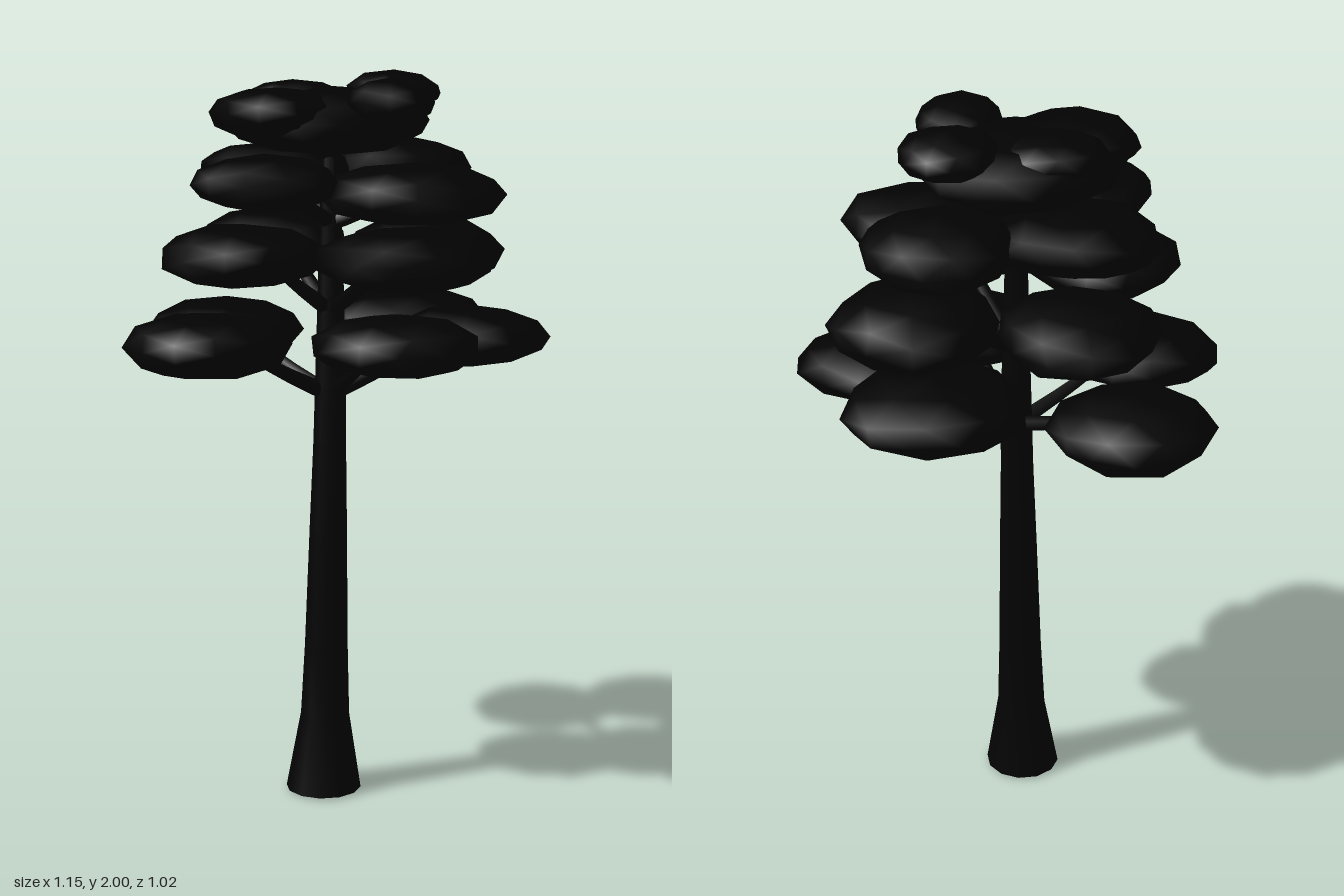
import * as THREE from 'three';
import { mergeVertices } from 'three/addons/utils/BufferGeometryUtils.js';

const bark = new THREE.MeshStandardMaterial({ color: 0x030303 });
const leaf = new THREE.MeshStandardMaterial({ color: 0x020202 });

// The trunk leans a little: its centre line at height y
const trunkAt = (y) => {
  const t = Math.min(y / 1.2, 1);
  return new THREE.Vector3(-0.05 + 0.02 * t, y, 0.018 * (1 - t) ** 3);
};

// Flared, tapering trunk; the doubled point keeps the base edge sharp
function makeTrunk() {
  const profile = [[0, 0], [0.105, 0.005], [0.105, 0.005], [0.068, 0.22], [0.06, 0.42], [0.052, 0.75],
    [0.045, 1.0], [0.043, 1.15], [0.036, 1.4], [0.029, 1.65], [0.02, 1.88], [0, 1.89]];
  const geo = new THREE.LatheGeometry(profile.map(([r, y]) => new THREE.Vector2(r, y)), 12);
  const p = geo.attributes.position;
  for (let i = 0; i < p.count; i++) {
    const c = trunkAt(p.getY(i));
    p.setX(i, p.getX(i) + c.x);
    p.setZ(i, p.getZ(i) + c.z);
  }
  const mesh = new THREE.Mesh(geo, bark);
  mesh.name = 'trunk';
  return mesh;
}

// Tapered branch from the trunk to a leaf cluster
function makeBranch(startY, end) {
  const start = trunkAt(startY);
  const mid = start.clone().lerp(end, 0.5);
  mid.y -= 0.015;
  const curve = new THREE.QuadraticBezierCurve3(start, mid, end);
  const rings = 5, sides = 6;
  const geo = new THREE.TubeGeometry(curve, rings, 1, sides, false);
  const p = geo.attributes.position;
  const v = new THREE.Vector3();
  for (let i = 0; i < p.count; i++) {
    const t = Math.floor(i / (sides + 1)) / rings;
    const c = curve.getPointAt(t);
    v.fromBufferAttribute(p, i).sub(c).multiplyScalar(0.024 - 0.012 * t).add(c);
    p.setXYZ(i, v.x, v.y, v.z);
  }
  const mesh = new THREE.Mesh(geo, bark);
  mesh.name = 'branch';
  return mesh;
}

// Flattened, slightly uneven leaf cluster
function makeCluster([x, y, z, rx, ry, rz], seed) {
  const ball = new THREE.IcosahedronGeometry(1, 1);
  ball.deleteAttribute('normal');
  ball.deleteAttribute('uv');
  const geo = mergeVertices(ball);
  geo.rotateY(seed * 1.7);
  const p = geo.attributes.position;
  const v = new THREE.Vector3();
  for (let i = 0; i < p.count; i++) {
    v.fromBufferAttribute(p, i);
    const bump = 1 + 0.04 * Math.sin(3.1 * v.x + seed * 2.3) + 0.04 * Math.sin(3.7 * v.z + 2 * v.y + seed);
    p.setXYZ(i, v.x * rx * bump, v.y * ry * bump, v.z * rz * bump);
  }
  geo.computeVertexNormals();
  const mesh = new THREE.Mesh(geo, leaf);
  mesh.position.set(x, y, z);
  mesh.name = 'leafCluster';
  return mesh;
}

// Tiers of foliage: height of the branch root, then clusters as centre and radii
const tiers = [
  { name: 'lowestTier', root: 1.13, clusters: [
    [-0.355, 1.265, -0.265, 0.225, 0.088, 0.225],
    [-0.345, 1.285, 0.175, 0.215, 0.088, 0.21],
    [0.145, 1.3, -0.275, 0.25, 0.092, 0.245],
    [0.35, 1.295, -0.01, 0.225, 0.083, 0.19],
    [0.16, 1.3, 0.24, 0.225, 0.085, 0.225]] },
  { name: 'secondTier', root: 1.36, clusters: [
    [-0.22, 1.53, -0.27, 0.22, 0.083, 0.22],
    [-0.235, 1.53, 0.225, 0.215, 0.083, 0.22],
    [0.18, 1.53, 0.28, 0.225, 0.085, 0.235],
    [0.21, 1.505, -0.21, 0.23, 0.1, 0.24]] },
  { name: 'thirdTier', root: 1.6, clusters: [
    [-0.19, 1.73, -0.14, 0.22, 0.08, 0.21],
    [-0.18, 1.72, 0.25, 0.2, 0.075, 0.2],
    [0.14, 1.73, -0.25, 0.21, 0.085, 0.21],
    [0.195, 1.68, 0.07, 0.24, 0.085, 0.23]] },
  { name: 'crown', root: 1.78, clusters: [
    [-0.04, 1.87, 0, 0.28, 0.09, 0.29],
    [-0.15, 1.895, 0.13, 0.19, 0.068, 0.19],
    [-0.14, 1.92, -0.07, 0.14, 0.06, 0.14],
    [0.14, 1.925, 0.17, 0.125, 0.06, 0.14],
    [0.13, 1.94, -0.14, 0.13, 0.06, 0.14]] },
];

export function createModel() {
  const group = new THREE.Group();
  group.name = 'tree';
  group.add(makeTrunk());
  let seed = 1;
  for (const { name, root, clusters } of tiers) {
    const tier = new THREE.Group();
    tier.name = name;
    for (const c of clusters) {
      tier.add(makeCluster(c, seed++));
      const centre = new THREE.Vector3(c[0], c[1], c[2]);
      const tip = trunkAt(c[1]).lerp(centre, 0.8);
      tier.add(makeBranch(root, tip));
    }
    group.add(tier);
  }
  return group;
}
